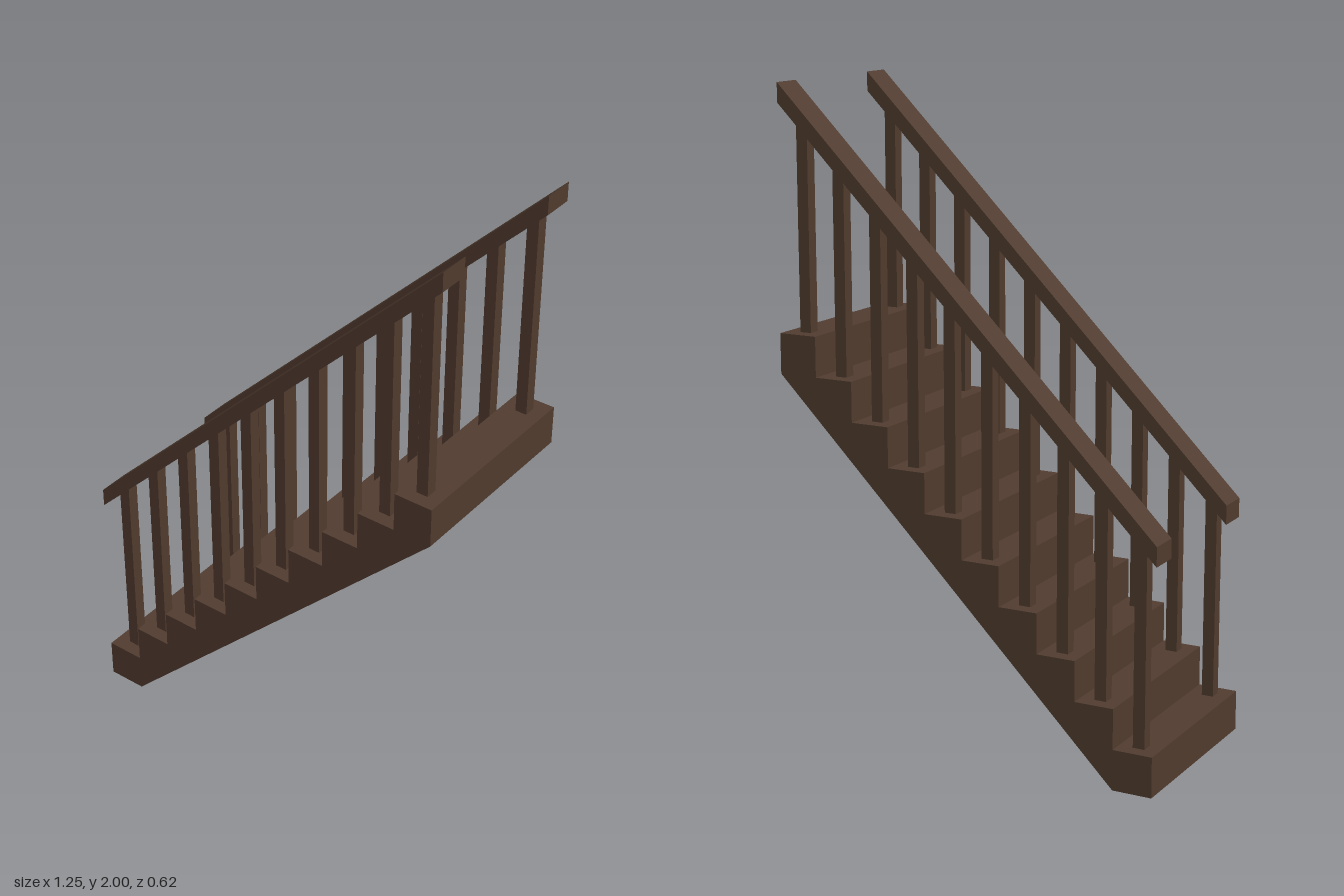
import * as THREE from 'three';

const STEPS = 10, STEP = 0.125, X0 = -0.625, X1 = 0.625;

export function createModel() {
  const model = new THREE.Group();
  model.name = 'staircase';
  const wood = new THREE.MeshStandardMaterial({ color: 0x503b2e });
  wood.name = 'dark brown wood';

  const add = (name, geometry, x = 0, y = 0, z = 0) => {
    const mesh = new THREE.Mesh(geometry, wood);
    mesh.name = name;
    mesh.position.set(x, y, z);
    model.add(mesh);
  };

  // Side outline extruded along z and centred on it
  const slab = (points, width) => {
    const shape = new THREE.Shape(points.map(([x, y]) => new THREE.Vector2(x, y)));
    return new THREE.ExtrudeGeometry(shape, { depth: width, bevelEnabled: false })
      .translate(0, 0, -width / 2);
  };

  // Flight of steps with a sloping underside
  const outline = [[X0 + STEP, 0], [X1, STEPS * STEP - STEP]];
  for (let i = STEPS; i > 0; i--) {
    outline.push([X0 + i * STEP, i * STEP], [X0 + (i - 1) * STEP, i * STEP]);
  }
  outline.push([X0, 0]);
  add('steps', slab(outline, 0.625));

  // Handrail and one baluster per step on each side
  const rail = slab([[X0, 0.69], [X1, 1.94], [X1, 2], [X0, 0.75]], 0.1);
  const baluster = new THREE.BoxGeometry(0.0375, 0.65, 0.0375);
  for (const [side, z] of [['front', 0.25], ['back', -0.25]]) {
    add(`${side}Handrail`, rail, 0, 0, z);
    for (let i = 0; i < STEPS; i++) {
      add(`${side}Baluster${i + 1}`, baluster, X0 + (i + 0.5) * STEP, (i + 1) * STEP + 0.325, z);
    }
  }
  return model;
}
